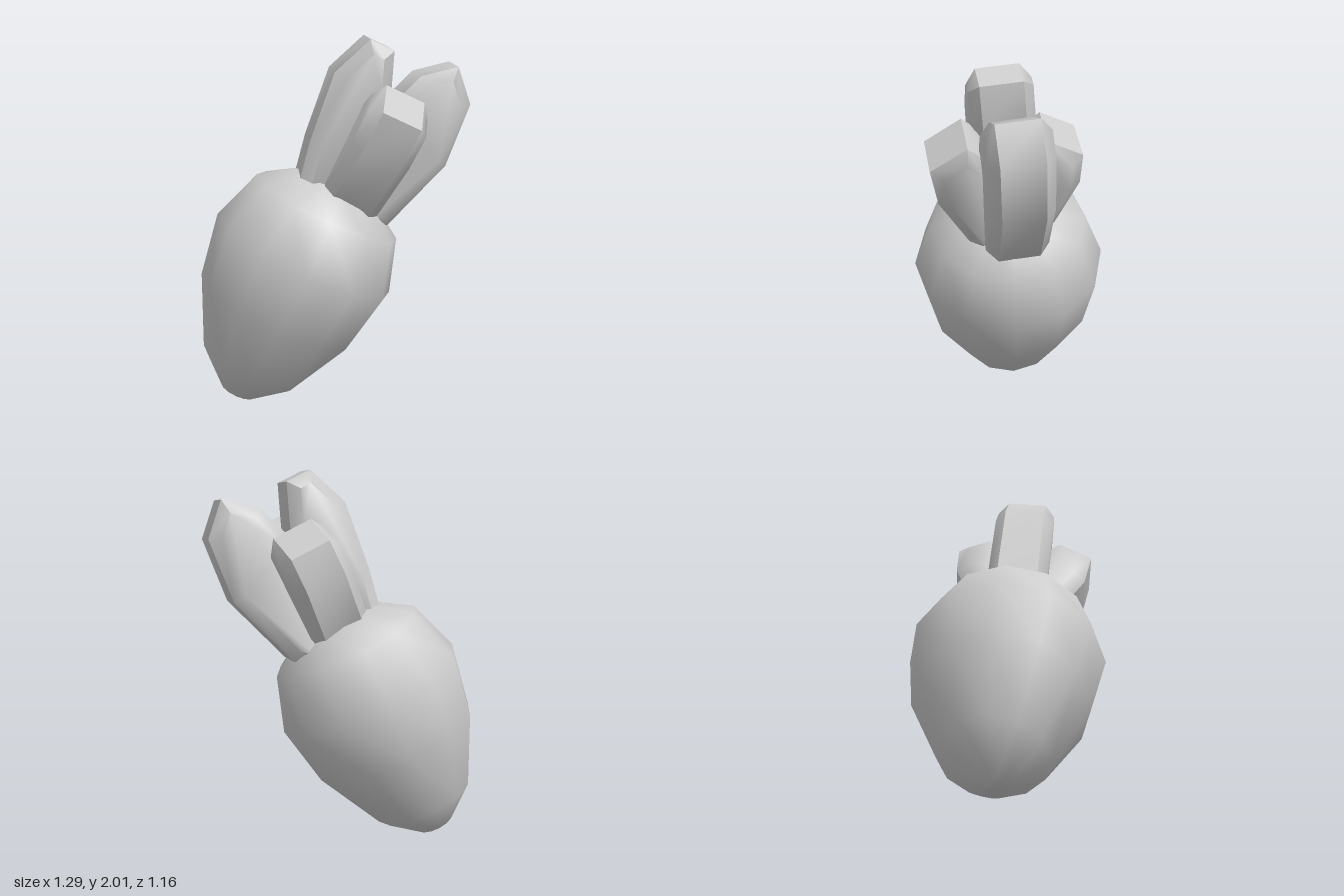
import * as THREE from 'three';
import { toCreasedNormals } from 'three/addons/utils/BufferGeometryUtils.js';

const material = new THREE.MeshStandardMaterial({ color: 0xcccccc });

// Thick slab with chamfered rim; outline is [distance from axis, height along axis]
function makeLeaf(name, outline, angle, offset) {
  const shape = new THREE.Shape(outline.map(([r, s]) => new THREE.Vector2(r, s)));
  const depth = 0.22;
  const extruded = new THREE.ExtrudeGeometry(shape, {
    depth, bevelEnabled: true, bevelSegments: 1,
    bevelThickness: 0.055, bevelSize: 0.06, bevelOffset: -0.06,
  });
  extruded.translate(0, 0, offset - depth / 2);
  const leaf = new THREE.Mesh(toCreasedNormals(extruded, 0.75), material);
  leaf.name = name;
  leaf.rotation.y = angle;
  return leaf;
}

export function createModel() {
  const model = new THREE.Group();
  model.name = 'rootVegetable';

  // Everything grows along one leaning axis, from the tip of the root
  const plant = new THREE.Group();
  plant.name = 'plant';
  plant.position.set(-0.42, 0.02, 0.27);
  plant.quaternion.setFromUnitVectors(
    new THREE.Vector3(0, 1, 0), new THREE.Vector3(0.36, 0.9, -0.24).normalize());
  model.add(plant);

  // Swollen root with a blunt tip
  const profile = [
    [0, 0], [0.1, 0.025], [0.28, 0.19], [0.46, 0.56],
    [0.52, 0.9], [0.42, 1.19], [0.22, 1.32], [0, 1.36],
  ].map(([r, s]) => new THREE.Vector2(r, s));
  const root = new THREE.Mesh(new THREE.LatheGeometry(profile, 12), material);
  root.name = 'root';
  root.rotation.y = 0.17;
  plant.add(root);

  // Tall leaf and outer leaf, in one plane through the axis
  const tall = [
    [-0.1, 1.15], [0, 1.55], [0.02, 1.88], [-0.07, 2.1], [-0.21, 2.1],
    [-0.305, 1.87], [-0.265, 1.49], [-0.2, 1.15],
  ];
  const outer = [
    [0.18, 1.15], [0.32, 1.25], [0.46, 1.67], [0.43, 2.02],
    [0.28, 2.17], [0.12, 2.04], [0.05, 1.85], [0.08, 1.5],
  ];
  plant.add(makeLeaf('tallLeaf', tall, Math.PI / 4, 0.01));
  plant.add(makeLeaf('outerLeaf', outer, Math.PI / 4, -0.005));

  // Pair of shorter leaves on either side of the axis, the back one a little smaller
  const short = [
    [0.08, 1.15], [0.22, 1.24], [0.38, 1.58], [0.41, 1.81],
    [0.22, 1.93], [0.1, 1.81], [0.05, 1.55],
  ];
  const small = [
    [-0.08, 1.15], [-0.2, 1.24], [-0.35, 1.57], [-0.36, 1.76],
    [-0.18, 1.88], [-0.08, 1.78], [-0.05, 1.55],
  ];
  plant.add(makeLeaf('frontSideLeaf', short, -Math.PI / 4, -0.06));
  plant.add(makeLeaf('backSideLeaf', small, -Math.PI / 4, -0.03));
  return model;
}
